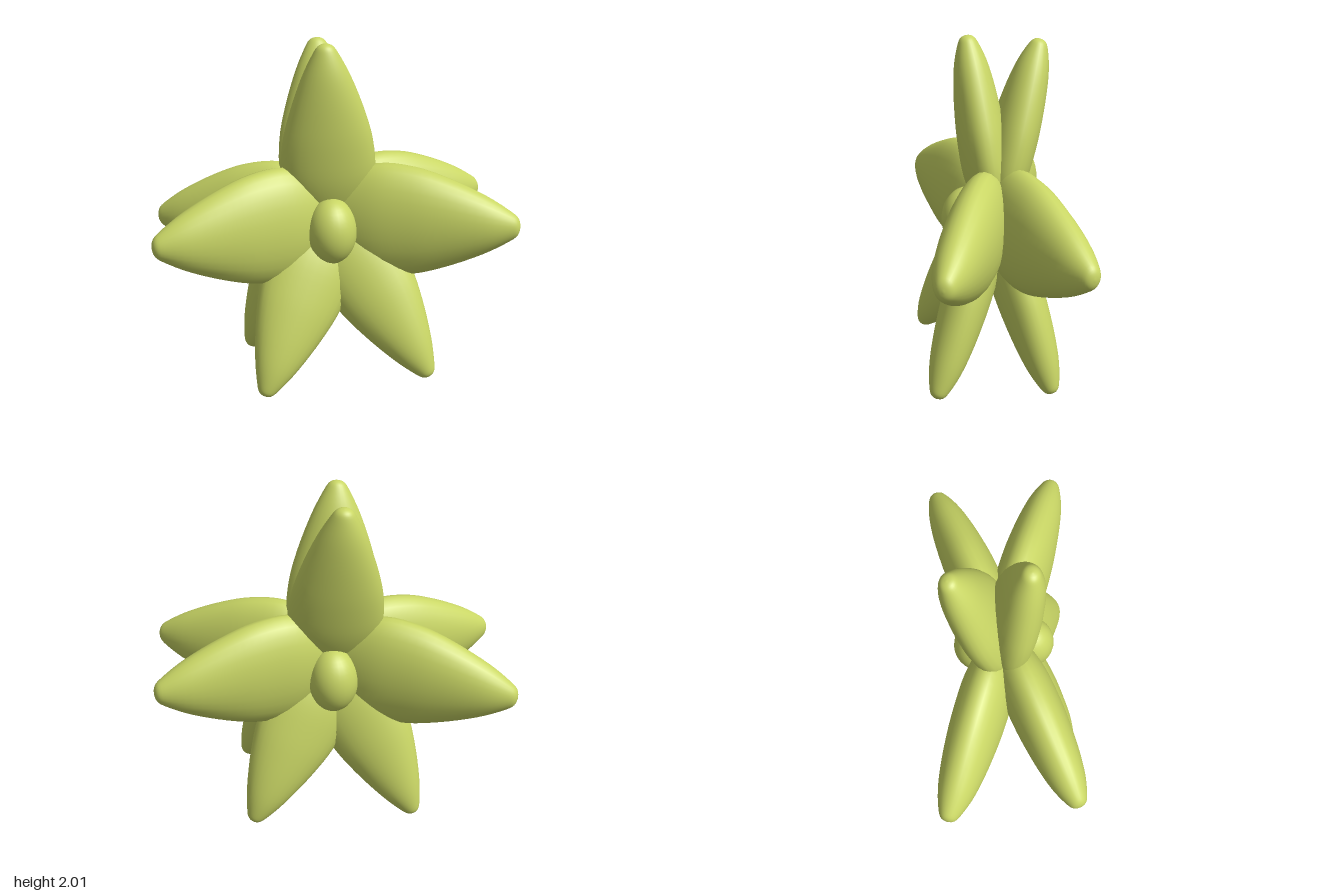
import * as THREE from 'three';
import { mergeVertices } from 'three/addons/utils/BufferGeometryUtils.js';

const material = new THREE.MeshStandardMaterial({ color: 0xc9d665 });
const centre = new THREE.Vector3(0, 0.97, 0);
// Axis of the double flower: one bloom faces along it, the other against it
const axis = new THREE.Vector3(0.707, -0.06, -0.707).normalize();

// Half width of a petal along its length, from base to tip
const outline = new THREE.SplineCurve([
  [0, -0.06], [0.16, 0], [0.265, 0.1], [0.335, 0.26], [0.322, 0.45],
  [0.262, 0.63], [0.17, 0.82], [0.085, 0.95], [0.045, 0.99], [0, 1],
].map(([r, t]) => new THREE.Vector2(r, t)));

// Flattened, pointed petal along +y; the tip is relatively thicker than the body
function petalGeometry(length, widthScale, thickScale) {
  const profile = outline.getPoints(36);
  profile.forEach((p) => { p.x = Math.max(p.x, 0); });
  profile[0].x = profile[36].x = 0;
  let geometry = new THREE.LatheGeometry(profile, 28);
  const pos = geometry.attributes.position;
  for (let i = 0; i < pos.count; i++) {
    const t = Math.max(pos.getY(i), 0);
    const flat = 0.44 + 0.38 * t ** 3;
    pos.setXYZ(i, pos.getX(i) * widthScale, pos.getY(i) * length, pos.getZ(i) * flat * thickScale);
  }
  geometry.deleteAttribute('uv');
  geometry.deleteAttribute('normal');
  geometry = mergeVertices(geometry, 1e-5);
  geometry.computeVertexNormals();
  return geometry;
}

// Petal running from the flower centre to its tip, broad side facing the axis
function addPetal(group, name, tip, widthScale, thickScale) {
  const along = new THREE.Vector3(...tip).sub(centre);
  const length = along.length();
  along.normalize();
  const thick = axis.clone().addScaledVector(along, -axis.dot(along)).normalize();
  const wide = new THREE.Vector3().crossVectors(along, thick);
  const mesh = new THREE.Mesh(petalGeometry(length, widthScale, thickScale), material);
  mesh.quaternion.setFromRotationMatrix(new THREE.Matrix4().makeBasis(wide, along, thick));
  mesh.position.copy(centre);
  mesh.name = name;
  group.add(mesh);
}

// Rounded bud in the middle of a bloom
function addBud(group, side, y) {
  const bud = new THREE.Mesh(new THREE.SphereGeometry(1, 28, 20), material);
  bud.scale.set(0.145, 0.195, 0.155);
  bud.rotation.y = -Math.PI / 4;
  bud.position.set(0.1 * side, y, -0.1 * side);
  bud.name = 'bud';
  group.add(bud);
}

const blooms = [
  {
    name: 'backBloom', side: 1, budY: 0.91,
    top: [0.16, 1.97, -0.23],
    sides: [[-0.47, 0.88, -0.98], [0.97, 0.99, 0.42]],
    lower: [[-0.18, 0.0, -0.52], [0.56, 0.02, 0.14]],
  },
  {
    name: 'frontBloom', side: -1, budY: 0.935,
    top: [-0.12, 2.0, 0.07],
    sides: [[-0.97, 0.97, -0.43], [0.49, 1.0, 0.98]],
    lower: [[-0.59, 0.03, 0.0], [0.13, 0.08, 0.66]],
  },
];

export function createModel() {
  const model = new THREE.Group();
  model.name = 'doubleFlower';
  for (const b of blooms) {
    const bloom = new THREE.Group();
    bloom.name = b.name;
    addPetal(bloom, 'topPetal', b.top, 0.8, 0.9);
    b.sides.forEach((tip) => addPetal(bloom, 'sidePetal', tip, 1, 1));
    b.lower.forEach((tip) => addPetal(bloom, 'lowerPetal', tip, 0.78, 0.92));
    addBud(bloom, b.side, b.budY);
    model.add(bloom);
  }
  return model;
}
